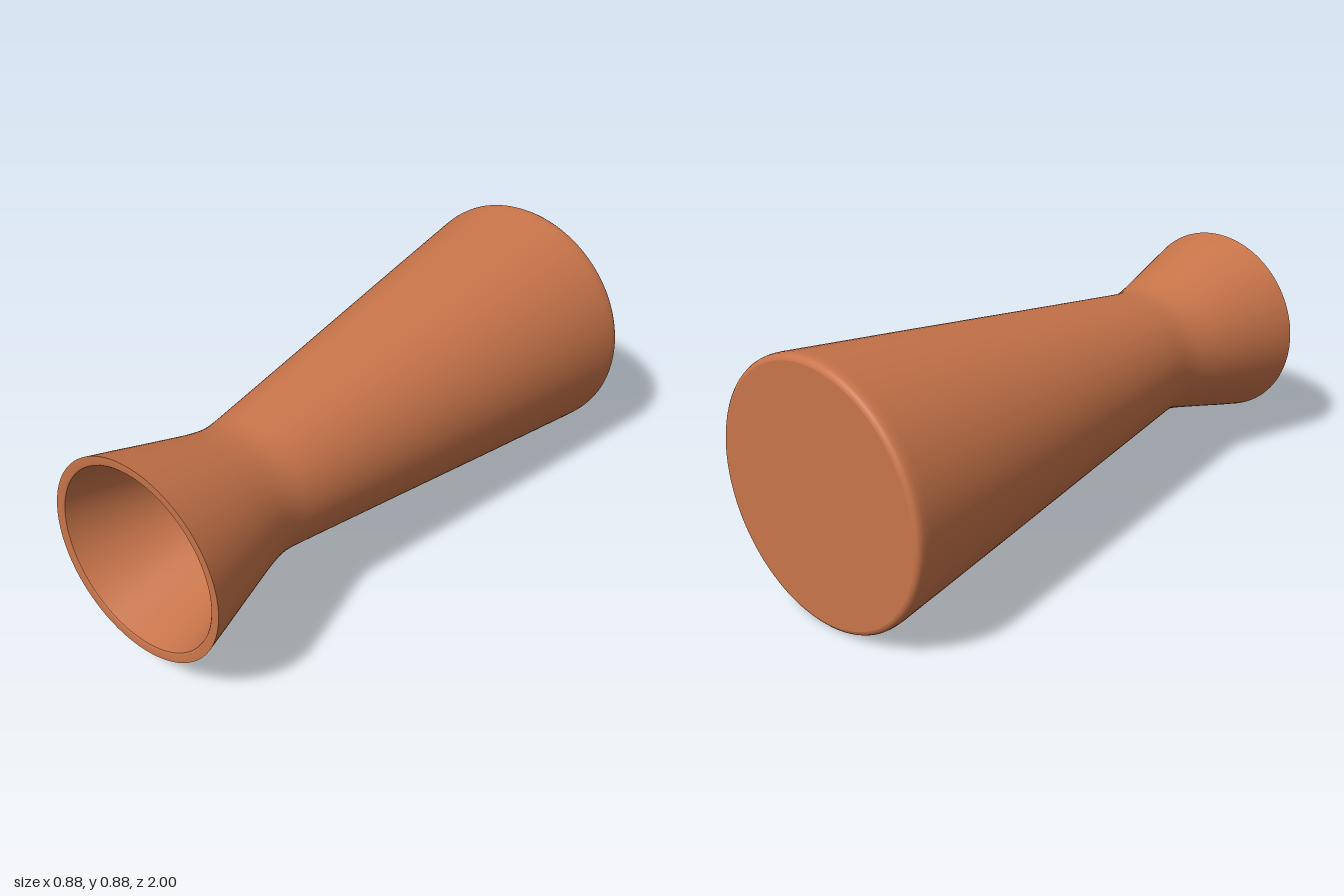
import * as THREE from 'three';

const SEGMENTS = 96;
const AXIS_HEIGHT = 0.44;

// Revolve [radius, z] points around the z axis; z increasing faces outward.
function turned(name, points, material) {
  const profile = points.map(([r, z]) => new THREE.Vector2(r, z));
  const geometry = new THREE.LatheGeometry(profile, SEGMENTS);
  geometry.rotateX(Math.PI / 2);
  const mesh = new THREE.Mesh(geometry, material);
  mesh.name = name;
  return mesh;
}

export function createModel() {
  const group = new THREE.Group();
  group.name = 'gobletDrum';
  const clay = new THREE.MeshStandardMaterial({ color: 0xc9754a });
  clay.name = 'terracotta';

  // Long flaring bowl, rounded at the back, narrowing to the neck and opening to the foot
  const outside = [
    [0.421, -1], [0.428, -0.998], [0.434, -0.993], [0.438, -0.985], [0.439, -0.972], [0.437, -0.95],
    [0.37, -0.47], [0.303, 0], [0.262, 0.29], [0.238, 0.46], [0.233, 0.5], [0.231, 0.53],
    [0.232, 0.56], [0.236, 0.59], [0.244, 0.63], [0.257, 0.68], [0.29, 0.8], [0.318, 0.9], [0.345, 1],
  ];
  // Hollow inside, following the outer wall at an even thickness
  const inside = [
    [0.313, 0.996], [0.286, 0.9], [0.258, 0.8], [0.225, 0.68], [0.212, 0.63], [0.203, 0.59],
    [0.199, 0.56], [0.198, 0.53], [0.2, 0.5], [0.205, 0.46], [0.229, 0.29], [0.27, 0], [0.337, -0.47], [0.402, -0.94],
  ];

  group.add(
    turned('bodyShell', outside, clay),
    turned('drumHead', [[0, -1], [0.421, -1]], clay),
    turned('footRim', [[0.345, 1], [0.318, 1], [0.313, 0.996]], clay),
    turned('innerWall', inside, clay),
    turned('innerHead', [[0.402, -0.94], [0, -0.94]], clay),
  );
  group.children.forEach((mesh) => { mesh.position.y = AXIS_HEIGHT; });
  return group;
}
